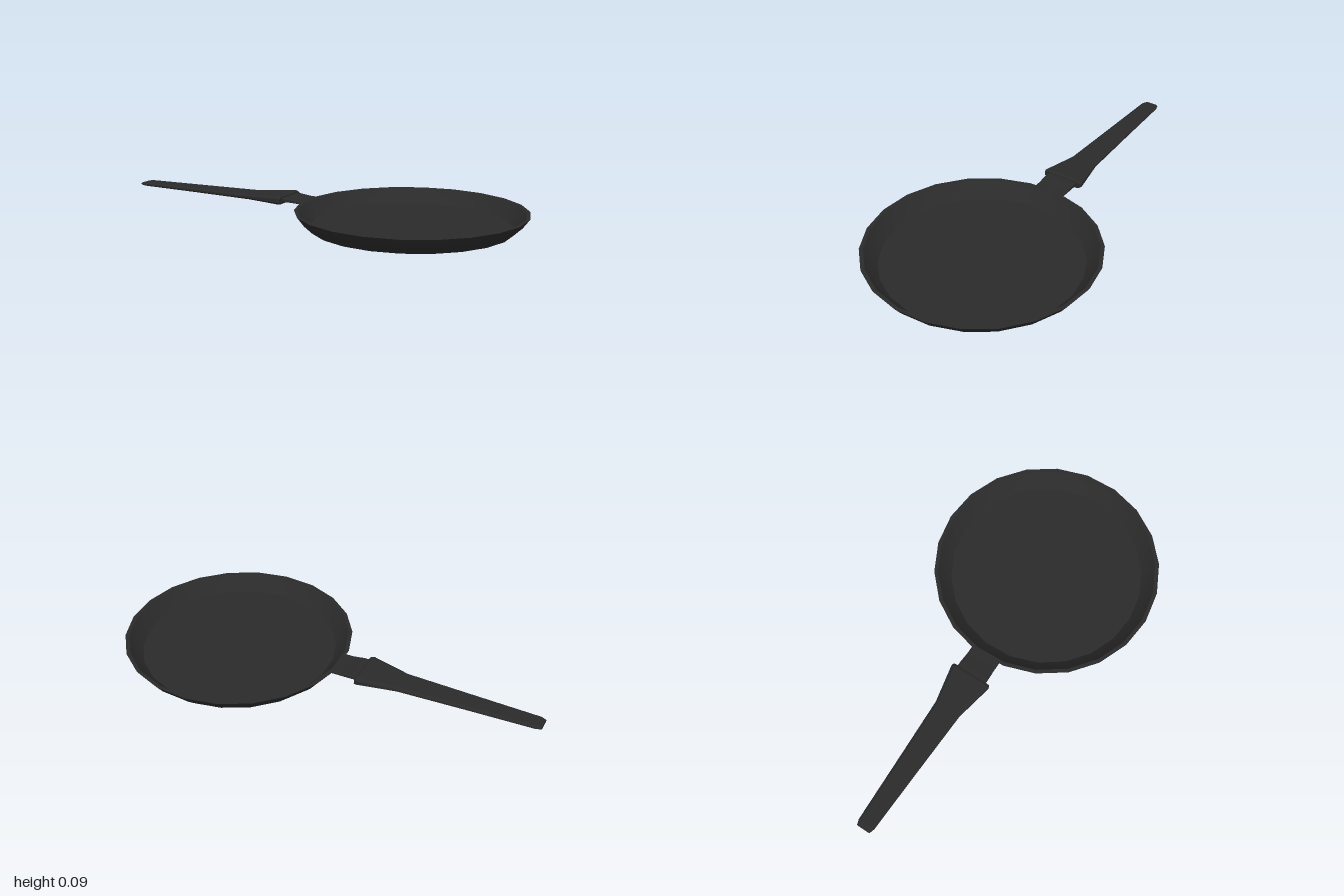
import * as THREE from 'three';

const SIDES = 22;
const darkCoating = new THREE.MeshStandardMaterial({ color: 0x2a2a2a });
darkCoating.name = 'darkCoating';

// One smooth ring of the pan; separate rings keep sharp edges between them
function panRing(name, points) {
  const profile = points.map(([r, y]) => new THREE.Vector2(r, y));
  const geometry = new THREE.LatheGeometry(profile, SIDES, Math.PI / 2);
  const mesh = new THREE.Mesh(geometry, darkCoating);
  mesh.name = name;
  return mesh;
}

// Faceted bar along +x through chamfered sections: [x, half width, bottom, top, chamfer width, chamfer height]
function bar(name, stations) {
  const rings = stations.map(([x, w, b, t, c, h]) => [
    [w - c, t], [w, t - h], [w, b + h], [w - c, b],
    [c - w, b], [-w, b + h], [-w, t - h], [c - w, t],
  ].map(([z, y]) => [x, y, z]));
  const pos = [];
  const tri = (...corners) => corners.forEach((p) => pos.push(...p));
  const n = 8;
  for (let i = 0; i < rings.length - 1; i++) {
    for (let j = 0; j < n; j++) {
      const k = (j + 1) % n;
      tri(rings[i][j], rings[i][k], rings[i + 1][k]);
      tri(rings[i][j], rings[i + 1][k], rings[i + 1][j]);
    }
  }
  const first = rings[0];
  const last = rings[rings.length - 1];
  for (let j = 1; j < n - 1; j++) {
    tri(first[0], first[j + 1], first[j]);
    tri(last[0], last[j], last[j + 1]);
  }
  const geometry = new THREE.BufferGeometry();
  geometry.setAttribute('position', new THREE.Float32BufferAttribute(pos, 3));
  geometry.computeVertexNormals();
  const mesh = new THREE.Mesh(geometry, darkCoating);
  mesh.name = name;
  return mesh;
}

export function createModel() {
  const model = new THREE.Group();
  model.name = 'fryingPan';

  // Pan body
  const pan = new THREE.Group();
  pan.name = 'pan';
  pan.position.x = 0.465;
  pan.add(
    panRing('base', [[0, 0], [0.46, 0]]),
    panRing('outerWall', [[0.46, 0], [0.498, 0.035], [0.53, 0.077]]),
    panRing('rim', [[0.53, 0.077], [0.512, 0.077]]),
    panRing('innerWall', [[0.512, 0.077], [0.485, 0.043], [0.453, 0.012]]),
    panRing('floor', [[0.453, 0.012], [0, 0.012]]),
  );

  // Handle, pointing straight out from the pan centre
  const handle = new THREE.Group();
  handle.name = 'handle';
  handle.position.x = 0.465;
  handle.rotation.y = Math.PI - 0.188;
  handle.add(
    bar('neck', [
      [0.515, 0.074, 0.062, 0.075, 0.008, 0.003],
      [0.56, 0.074, 0.062, 0.076, 0.008, 0.003],
      [0.61, 0.076, 0.064, 0.082, 0.008, 0.003],
      [0.66, 0.076, 0.064, 0.082, 0.008, 0.003],
    ]),
    bar('grip', [
      [0.636, 0.096, 0.054, 0.087, 0.016, 0.008],
      [0.648, 0.1, 0.052, 0.092, 0.016, 0.01],
      [0.7, 0.09, 0.052, 0.088, 0.015, 0.01],
      [0.83, 0.064, 0.052, 0.077, 0.012, 0.008],
      [1.15, 0.052, 0.052, 0.073, 0.011, 0.007],
      [1.46, 0.041, 0.051, 0.069, 0.01, 0.006],
      [1.485, 0.033, 0.053, 0.064, 0.008, 0.004],
    ]),
  );

  model.add(pan, handle);
  return model;
}
